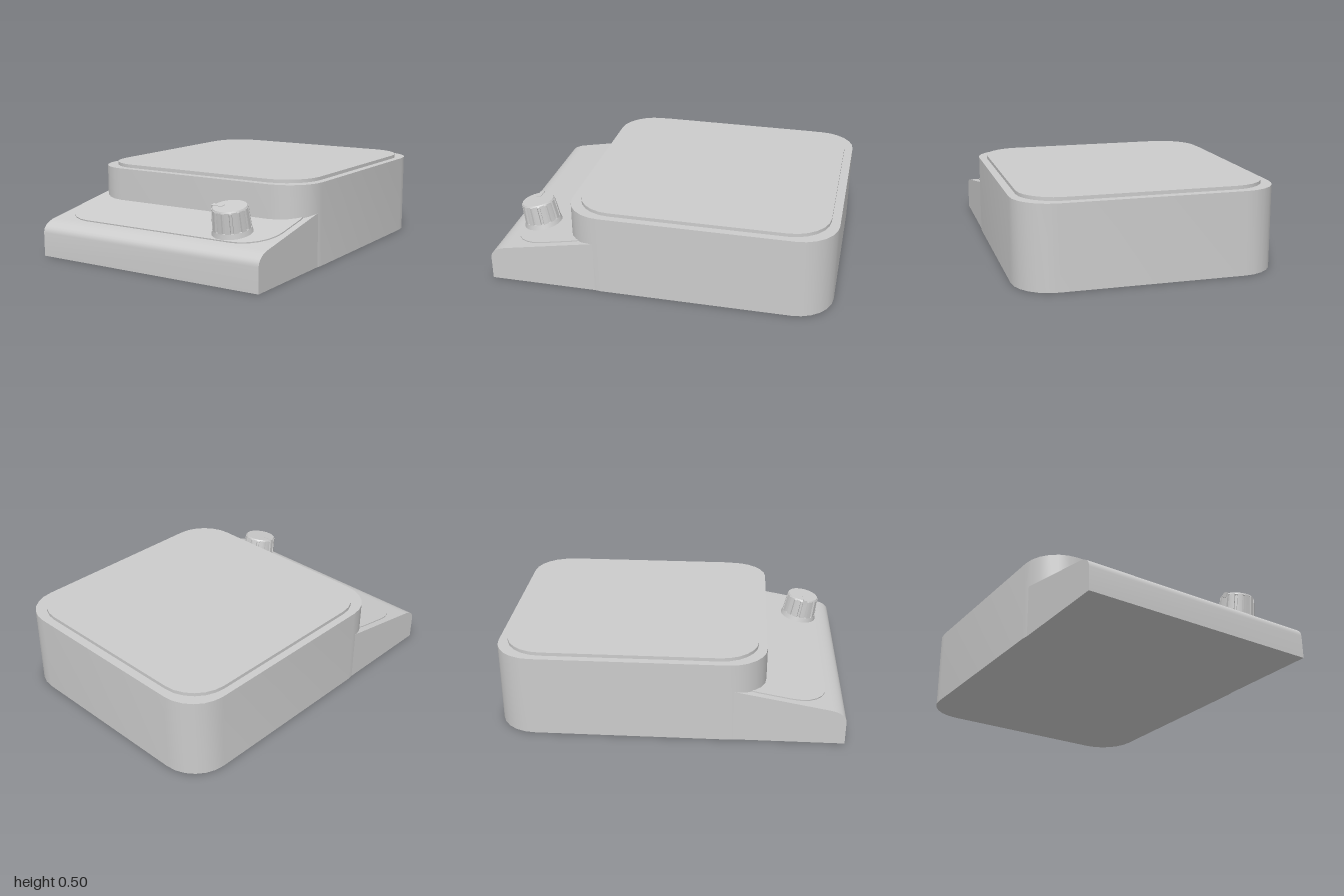
import * as THREE from 'three';
import { toCreasedNormals } from 'three/addons/utils/BufferGeometryUtils.js';

const material = new THREE.MeshStandardMaterial({ color: 0xcccccc });

function addMesh(parent, name, geometry, crease = 0.7) {
  const mesh = new THREE.Mesh(toCreasedNormals(geometry, crease), material);
  mesh.name = name;
  parent.add(mesh);
  return mesh;
}

// Upright slab with rounded corners, standing on y = 0
function roundedSlab(w, d, h, r) {
  const x = w / 2, y = d / 2, s = new THREE.Shape();
  s.absarc(x - r, y - r, r, 0, Math.PI / 2);
  s.absarc(-x + r, y - r, r, Math.PI / 2, Math.PI);
  s.absarc(-x + r, -y + r, r, Math.PI, Math.PI * 1.5);
  s.absarc(x - r, -y + r, r, Math.PI * 1.5, Math.PI * 2);
  s.closePath();
  const g = new THREE.ExtrudeGeometry(s, { depth: h, bevelEnabled: false, curveSegments: 3 });
  return g.rotateX(-Math.PI / 2);
}

// Fluted, slightly tapered grip
function flutedGrip(radius, height, flutes) {
  const pts = [];
  for (let i = 0; i < flutes; i++) {
    for (const [t, k] of [[0, 1], [0.3, 1], [0.6, 1], [0.65, 0.9], [0.95, 0.9]]) {
      const a = ((i + t) / flutes) * Math.PI * 2;
      pts.push(new THREE.Vector2(Math.cos(a) * radius * k, Math.sin(a) * radius * k));
    }
  }
  const g = new THREE.ExtrudeGeometry(new THREE.Shape(pts), { depth: height, bevelEnabled: false });
  g.rotateX(-Math.PI / 2);
  const p = g.attributes.position;
  for (let i = 0; i < p.count; i++) {
    const k = 1 - 0.07 * (p.getY(i) / height);
    p.setX(i, p.getX(i) * k);
    p.setZ(i, p.getZ(i) * k);
  }
  return g;
}

export function createModel() {
  const model = new THREE.Group();
  model.name = 'model';

  // Main housing and the platform on top
  addMesh(model, 'housing', roundedSlab(1.488, 1.55, 0.48, 0.22)).position.z = -0.225;
  addMesh(model, 'topPlatform', roundedSlab(1.4, 1.45, 0.02, 0.22)).position.set(0, 0.48, -0.225);

  // Sloping control base with a rounded nose
  const side = new THREE.Shape();
  side.moveTo(0.3, 0);
  side.lineTo(1, 0);
  side.lineTo(1, 0.14);
  side.bezierCurveTo(1, 0.18, 0.96, 0.203, 0.91, 0.213);
  side.lineTo(0.36, 0.313);
  side.lineTo(0.36, 0.2);
  side.lineTo(0.3, 0.2);
  side.closePath();
  const base = new THREE.ExtrudeGeometry(side, { depth: 1.478, bevelEnabled: false, curveSegments: 8 });
  base.rotateY(-Math.PI / 2).translate(0.739, 0, 0);
  addMesh(model, 'controlBase', base);

  // Everything below sits on the slope
  const slope = new THREE.Group();
  slope.name = 'controlPanel';
  slope.position.set(0, 0.2375, 0.775);
  slope.rotation.x = Math.atan2(0.1, 0.55);
  model.add(slope);

  // Thin panel, its rear hidden in the housing
  addMesh(slope, 'panelPlate', roundedSlab(1.4, 0.6, 0.007, 0.2)).position.z = -0.18;

  // Knob: flange, fluted grip, cap and pointer
  const knob = new THREE.Group();
  knob.name = 'knob';
  knob.position.set(0.437, 0.005, 0);
  slope.add(knob);
  addMesh(knob, 'knobFlange', new THREE.CylinderGeometry(0.108, 0.115, 0.03, 32)).position.y = 0.015;
  addMesh(knob, 'knobGrip', flutedGrip(0.108, 0.12, 14), 0.5).position.y = 0.025;
  addMesh(knob, 'knobCap', new THREE.CylinderGeometry(0.094, 0.1, 0.012, 32)).position.y = 0.146;
  addMesh(knob, 'knobPointer', new THREE.BoxGeometry(0.07, 0.03, 0.028)).position.set(-0.07, 0.14, 0.01);

  return model;
}
